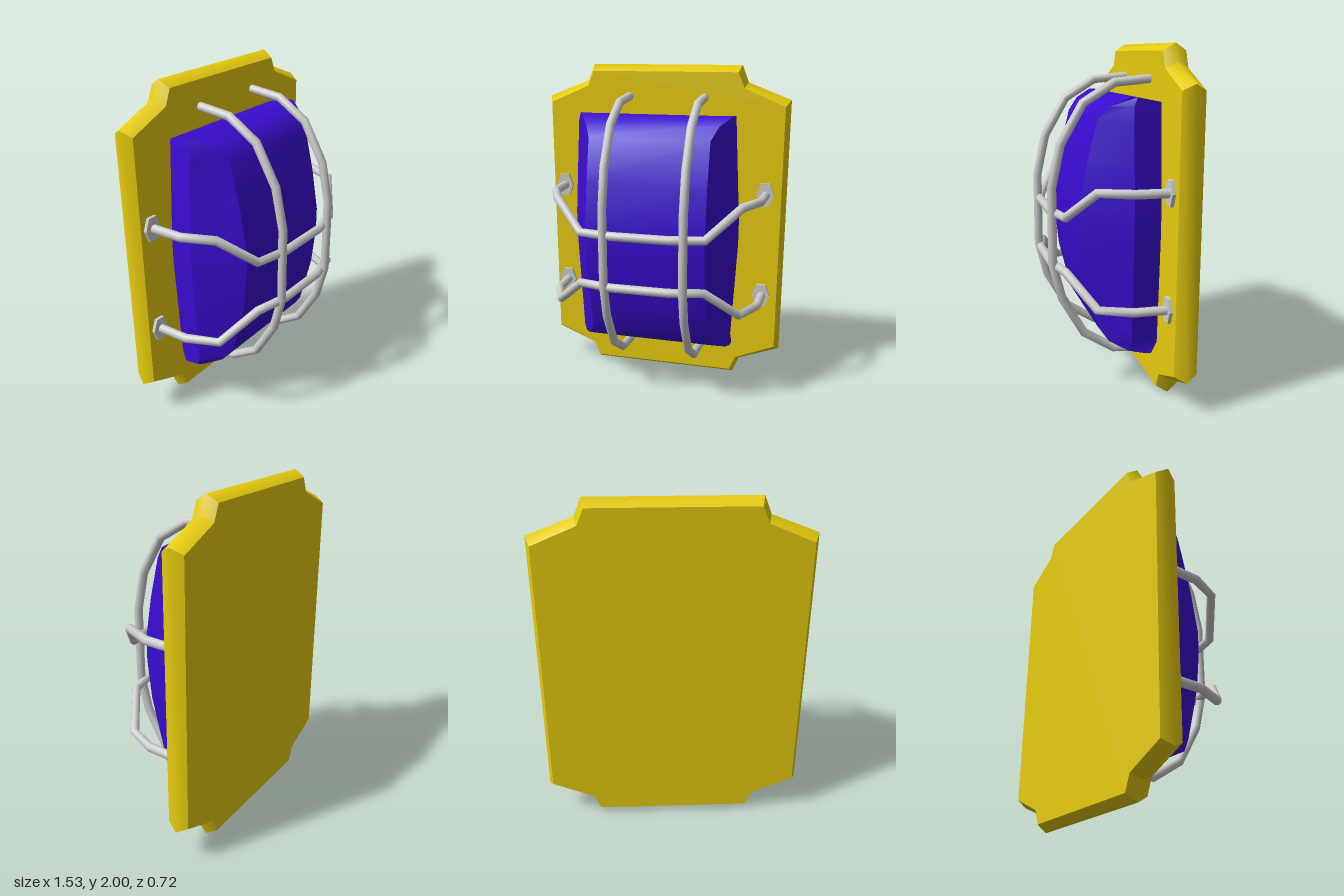
import * as THREE from 'three';
import { toCreasedNormals } from 'three/addons/utils/BufferGeometryUtils.js';

const yellow = new THREE.MeshStandardMaterial({ color: 0xe6cb0e });
const violet = new THREE.MeshStandardMaterial({ color: 0x3a0cd0 });
const grey = new THREE.MeshStandardMaterial({ color: 0xcccccc });

// Straight-segment path whose tangents are averaged at each corner
class Polyline extends THREE.Curve {
  constructor(points) {
    super();
    this.points = points.map((p) => new THREE.Vector3(...p));
  }
  getPoint(t, target = new THREE.Vector3()) {
    const n = this.points.length - 1;
    const i = Math.min(Math.floor(t * n + 1e-9), n - 1);
    return target.lerpVectors(this.points[i], this.points[i + 1], t * n - i);
  }
  getPointAt(t, target) { return this.getPoint(t, target); }
  getTangentAt(t, target) { return this.getTangent(t, target); }
}

function addMesh(parent, name, geometry, material) {
  const mesh = new THREE.Mesh(geometry, material);
  mesh.name = name;
  parent.add(mesh);
  return mesh;
}

function makeGeometry(positions, index) {
  const g = new THREE.BufferGeometry();
  g.setAttribute('position', new THREE.Float32BufferAttribute(positions, 3));
  g.setIndex(index);
  g.computeVertexNormals();
  return g;
}

// Rod along a bent path
function addRod(parent, name, points) {
  const geo = new THREE.TubeGeometry(new Polyline(points), points.length - 1, 0.026, 10);
  addMesh(parent, name, geo, grey);
}

// Notched outline, counter-clockwise, from its upper right quarter
function outline(quarter) {
  const back = [...quarter].reverse();
  return [
    ...quarter,
    ...back.map(([x, y]) => [-x, y]),
    ...quarter.map(([x, y]) => [-x, -y]),
    ...back.map(([x, y]) => [x, -y]),
  ].map(([x, y]) => [x, y + 1]);
}

// Back plate with a ridged rim
function buildPlate() {
  const plate = new THREE.Group();
  plate.name = 'backPlate';
  const outer = outline([[0.763, 0.8], [0.505, 0.9], [0.465, 1]]);
  const inner = outline([[0.735, 0.765], [0.488, 0.87], [0.45, 0.96]]);
  const rings = [[inner, -0.36], [outer, -0.295], [inner, -0.23]];
  const pos = [], idx = [];
  outer.forEach((_, i) => {
    const j = (i + 1) % outer.length, o = pos.length / 3;
    for (const [ring, z] of rings) pos.push(...ring[i], z, ...ring[j], z);
    for (const k of [o, o + 2]) idx.push(k, k + 1, k + 3, k, k + 3, k + 2);
  });
  addMesh(plate, 'plateRim', makeGeometry(pos, idx), yellow);
  const face = new THREE.ShapeGeometry(new THREE.Shape(inner.map((p) => new THREE.Vector2(...p))));
  addMesh(plate, 'plateFront', face, yellow).position.z = -0.23;
  const rear = addMesh(plate, 'plateBack', face, yellow);
  rear.rotation.y = Math.PI;
  rear.position.z = -0.36;
  return plate;
}

// Domed lens lofted upwards from six-point sections
function buildLens() {
  // height, front z, half width of front, half width of side
  const rows = [
    [0.26, -0.16, 0.473, 0.478], [0.28, -0.06, 0.455, 0.48], [0.325, 0.04, 0.4, 0.483],
    [0.41, 0.1, 0.362, 0.487], [0.72, 0.177, 0.36, 0.503], [0.96, 0.203, 0.36, 0.515],
    [1.1, 0.203, 0.36, 0.515], [1.35, 0.16, 0.36, 0.501], [1.595, 0.1, 0.362, 0.487],
    [1.67, 0.04, 0.4, 0.483], [1.72, -0.06, 0.465, 0.478],
  ];
  const pos = [], idx = [];
  rows.forEach(([y, z, f, w], r) => {
    const baseY = THREE.MathUtils.clamp(y, 0.33, 1.69);
    const sideZ = Math.min(-0.07, z - 0.03);
    const half = [[-w + 0.025, baseY, -0.24], [-w, y, sideZ], [-f, y, z]];
    const section = [...half, ...half.map(([x, b, c]) => [-x, b, c]).reverse()];
    for (const [x, b, c] of section) pos.push(x - 0.012, b, c);
    if (r === 0) return;
    for (let i = 0; i < 5; i++) {
      const a = (r - 1) * 6 + i, b = r * 6 + i;
      idx.push(a, a + 1, b + 1, a, b + 1, b);
    }
  });
  const top = (rows.length - 1) * 6;
  for (let i = 1; i < 5; i++) idx.push(0, i + 1, i, top, top + i, top + i + 1);
  return toCreasedNormals(makeGeometry(pos, idx), 0.65);
}

export function createModel() {
  const model = new THREE.Group();
  model.name = 'bulkheadLamp';
  model.add(buildPlate());
  addMesh(model, 'lens', buildLens(), violet);

  // Upright guard rods
  const upright = [
    [1.81, -0.24], [1.79, -0.025], [1.68, 0.155], [1.455, 0.285], [1.215, 0.337],
    [0.77, 0.337], [0.56, 0.285], [0.335, 0.155], [0.22, -0.025], [0.2, -0.24],
  ];
  for (const x of [-0.22, 0.25]) {
    addRod(model, 'uprightGuardRod', upright.map(([y, z]) => [x, y, z]));
  }

  // Cross guard rods, with hexagonal feet on the plate
  for (const [endY, midY] of [[1.235, 1.067], [0.587, 0.755]]) {
    const half = [
      [0.65, endY, -0.23], [0.64, endY, -0.03], [0.557, endY, 0.15],
      [0.37, midY, 0.285], [0.17, midY, 0.33],
    ];
    const path = [...half.map(([x, y, z]) => [-x, y, z]), ...half.reverse()];
    addRod(model, 'crossGuardRod', path.map(([x, y, z]) => [x - 0.007, y, z]));
    for (const x of [-0.66, 0.637]) {
      const foot = new THREE.CylinderGeometry(0.081, 0.081, 0.03, 6);
      foot.rotateY(Math.PI / 6).rotateX(Math.PI / 2).scale(0.68, 1, 1);
      const mesh = addMesh(model, 'rodFoot', toCreasedNormals(foot, 0.5), grey);
      mesh.position.set(x, endY, -0.225);
    }
  }
  return model;
}
